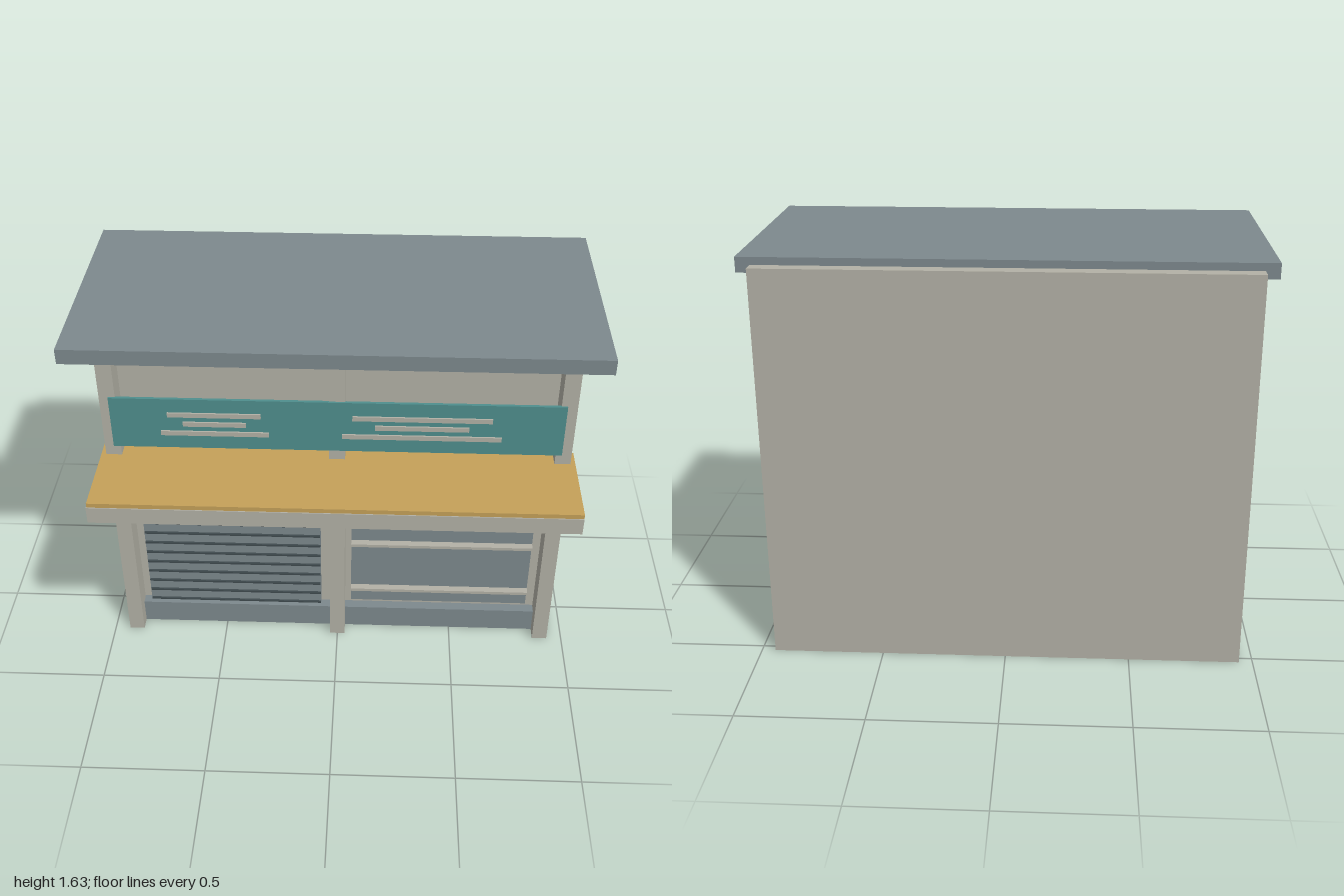
import * as THREE from 'three';

const material = (name, color) => {
  const m = new THREE.MeshStandardMaterial({ color });
  m.name = name;
  return m;
};

export function createModel() {
  const stall = new THREE.Group();
  stall.name = 'marketStall';

  const beige = material('beige', 0xb3b1a6);
  const steel = material('steelGrey', 0x7d898d);
  const dark = material('darkGrey', 0x3f4a4e);
  const teal = material('teal', 0x4f8e8d);
  const wood = material('wood', 0xc5a159);

  // Box given by its extents along each axis
  const box = (name, mat, [x0, x1], [y0, y1], [z0, z1], parent = stall) => {
    const mesh = new THREE.Mesh(new THREE.BoxGeometry(x1 - x0, y1 - y0, z1 - z0), mat);
    mesh.position.set((x0 + x1) / 2, (y0 + y1) / 2, (z0 + z1) / 2);
    mesh.name = name;
    parent.add(mesh);
    return mesh;
  };
  const group = (name) => {
    const g = new THREE.Group();
    g.name = name;
    stall.add(g);
    return g;
  };

  // Main cabinet, roof slab and plinth
  box('body', beige, [-0.945, 0.945], [0, 1.605], [-0.53, 0.105]);
  box('roof', steel, [-1, 1], [1.575, 1.635], [-0.475, 0.47]);
  box('plinth', steel, [-0.943, 0.943], [0, 0.108], [0.105, 0.148]);

  // Front posts
  const posts = group('posts');
  for (const x of [-0.903, 0, 0.903]) {
    box('post', beige, [x - 0.032, x + 0.032], [0, 1.435], [0.112, 0.205], posts);
  }

  // Counter with its front apron
  box('counterTop', wood, [-0.955, 0.955], [0.945, 0.977], [0.13, 0.526]);
  box('counterApron', beige, [-0.958, 0.955], [0.886, 0.958], [0.505, 0.53]);

  // Roller shutter with dark ribs
  const shutter = group('rollerShutter');
  box('shutterPanel', steel, [-0.84, -0.075], [0.108, 0.866], [0.1, 0.118], shutter);
  for (let i = 0; i < 14; i++) {
    const y = 0.111 + i * 0.0549;
    box('shutterRib', dark, [-0.838, -0.077], [y - 0.004, y + 0.004], [0.11, 0.127], shutter);
  }

  // Display panel with shelf rails
  const display = group('displayPanel');
  box('displayBack', steel, [0.058, 0.836], [0.128, 0.892], [0.1, 0.118], display);
  for (const y of [0.213, 0.47, 0.744]) {
    box('shelfRail', beige, [0.058, 0.836], [y - 0.007, y + 0.007], [0.11, 0.148], display);
  }

  // Sign board with plain raised stripes: [left x, right x, y]
  const sign = group('signBoard');
  box('signPanel', teal, [-0.898, 0.895], [1.025, 1.256], [0.2, 0.213], sign);
  const stripes = [
    [-0.67, -0.30, 1.185], [-0.61, -0.36, 1.142], [-0.70, -0.27, 1.098],
    [0.06, 0.61, 1.185], [0.15, 0.52, 1.142], [0.02, 0.65, 1.098],
  ];
  for (const [x0, x1, y] of stripes) {
    box('signStripe', beige, [x0, x1], [y - 0.01, y + 0.01], [0.212, 0.22], sign);
  }

  return stall;
}
